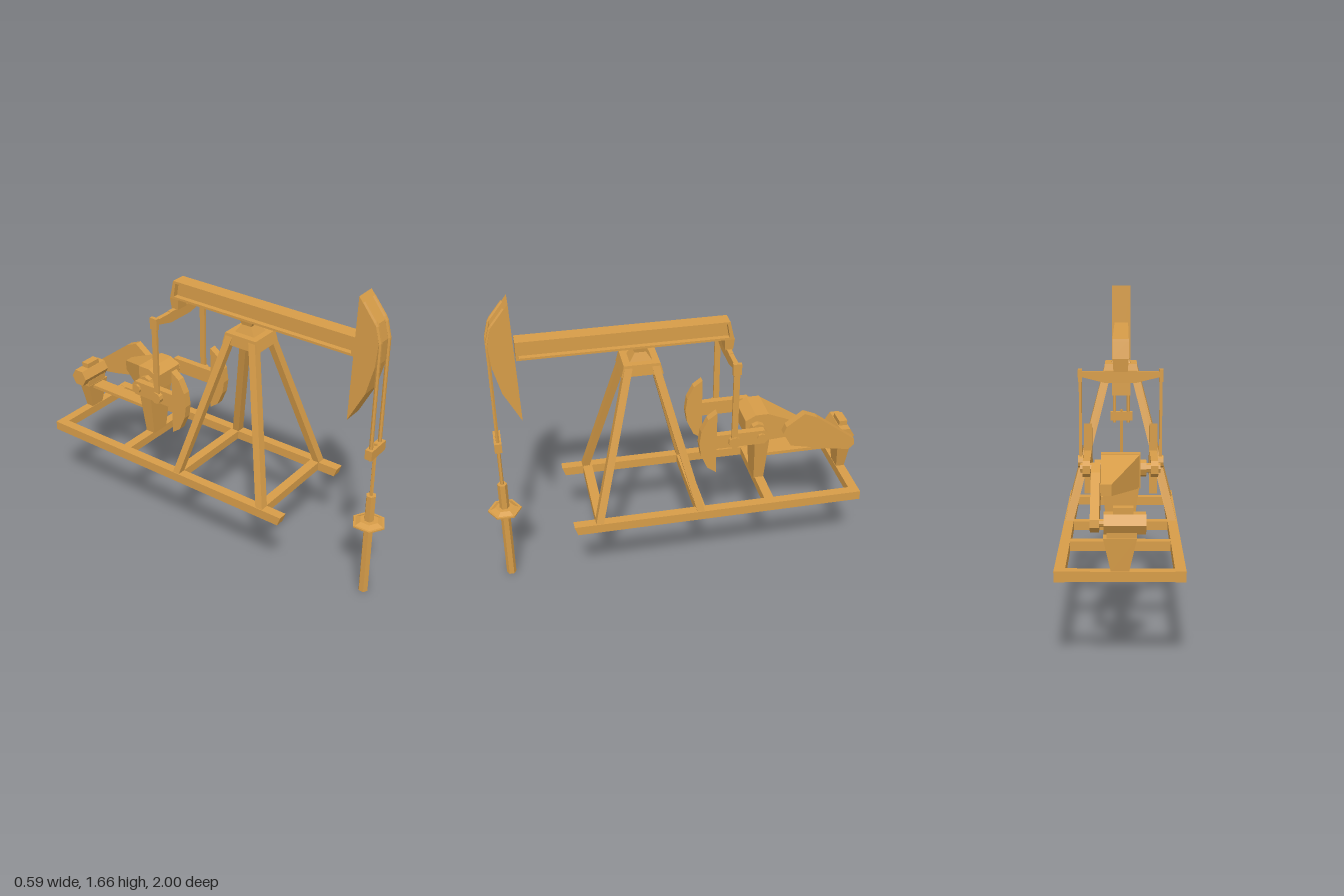
import * as THREE from 'three';

const material = new THREE.MeshStandardMaterial({ color: 0xd69c48, flatShading: true });

export function createModel() {
  const model = new THREE.Group();
  model.name = 'pumpjack';

  const add = (name, geometry) => {
    geometry.computeVertexNormals();
    const mesh = new THREE.Mesh(geometry, material);
    mesh.name = name;
    model.add(mesh);
    return mesh;
  };

  // Box given by its limits
  const box = (name, x0, x1, y0, y1, z0, z1) =>
    add(name, new THREE.BoxGeometry(x1 - x0, y1 - y0, z1 - z0)
      .translate((x0 + x1) / 2, (y0 + y1) / 2, (z0 + z1) / 2));

  // Box whose bottom and top rectangles [x0, x1, z0, z1] differ
  const taper = (name, y0, y1, bottom, top) => {
    const g = new THREE.BoxGeometry(1, 1, 1);
    const p = g.attributes.position;
    for (let i = 0; i < p.count; i++) {
      const r = p.getY(i) > 0 ? top : bottom;
      p.setXYZ(i, r[p.getX(i) > 0 ? 1 : 0], p.getY(i) > 0 ? y1 : y0, r[p.getZ(i) > 0 ? 3 : 2]);
    }
    return add(name, g);
  };

  // Side profile of [z, y] points, extruded from x0 to x1
  const plate = (name, x0, x1, points) => {
    const shape = new THREE.Shape(points.map(([z, y]) => new THREE.Vector2(z, y)));
    const g = new THREE.ExtrudeGeometry(shape, { depth: x1 - x0, bevelEnabled: false });
    return add(name, g.rotateY(-Math.PI / 2).translate(x1, 0, 0));
  };

  // Cylinder along x
  const axle = (name, x0, x1, y, z, r, sides = 8) =>
    add(name, new THREE.CylinderGeometry(r, r, x1 - x0, sides)
      .rotateZ(Math.PI / 2).translate((x0 + x1) / 2, y, z));

  // Upright cylinder
  const post = (name, y0, y1, z, r0, r1 = r0, sides = 6) =>
    add(name, new THREE.CylinderGeometry(r1, r0, y1 - y0, sides).translate(0, (y0 + y1) / 2, z));

  // Base frame
  for (const s of [-1, 1]) {
    plate('baseRail', s * 0.27 - 0.025, s * 0.27 + 0.025,
      [[-0.975, 0.43], [0.555, 0.43], [0.572, 0.48], [-0.975, 0.48]]);
  }
  for (const z of [0.43, -0.103, -0.478, -0.95]) {
    box('baseCrossbeam', -0.247, 0.247, 0.432, 0.479, z - 0.025, z + 0.025);
  }

  // Tower of four leaning legs, platform and saddle bearing
  for (const s of [-1, 1]) {
    const span = (a, b) => (s > 0 ? [a, b] : [-b, -a]);
    taper('towerLeg', 0.475, 1.27, [...span(0.247, 0.292), 0.42, 0.46], [...span(0.042, 0.085), 0.215, 0.255]);
    taper('towerLeg', 0.475, 1.27, [...span(0.247, 0.292), -0.118, -0.078], [...span(0.042, 0.085), 0.08, 0.12]);
  }
  taper('towerPlatform', 1.22, 1.28, [-0.09, 0.09, 0.06, 0.275], [-0.085, 0.085, 0.075, 0.26]);
  taper('saddleBase', 1.28, 1.325, [-0.05, 0.05, 0.11, 0.225], [-0.035, 0.035, 0.14, 0.195]);
  taper('saddleTop', 1.322, 1.348, [-0.035, 0.035, 0.14, 0.195], [-0.04, 0.04, 0.13, 0.208]);

  // Walking beam: two flanges, web and end plates
  plate('beamLowerFlange', -0.04, 0.04, [[-0.313, 1.345], [0.78, 1.345], [0.78, 1.357], [-0.31, 1.357]]);
  plate('beamUpperFlange', -0.04, 0.04, [[-0.293, 1.433], [0.78, 1.433], [0.78, 1.445], [-0.29, 1.445]]);
  plate('beamWeb', -0.012, 0.012, [[-0.3, 1.35], [0.78, 1.35], [0.78, 1.44], [-0.285, 1.44]]);
  plate('beamRearPlate', -0.04, 0.04, [[-0.312, 1.35], [-0.29, 1.35], [-0.275, 1.44], [-0.291, 1.44]]);
  box('beamFrontPlate', -0.04, 0.04, 1.35, 1.44, 0.765, 0.78);

  // Curved head
  plate('beamHead', -0.055, 0.055, [[0.775, 1.01], [0.862, 1.18], [0.9, 1.33], [0.91, 1.45],
    [0.888, 1.54], [0.795, 1.66]]);

  // Cables over the head, down to the carrier bar
  for (const s of [-1, 1]) {
    const points = [[0.815, 1.633], [0.888, 1.54], [0.911, 1.45], [0.91, 1.3], [0.91, 0.825]]
      .map(([z, y]) => new THREE.Vector3(s * 0.042, y, z));
    const path = new THREE.CurvePath();
    for (let i = 1; i < points.length; i++) path.add(new THREE.LineCurve3(points[i - 1], points[i]));
    add('cable', new THREE.TubeGeometry(path, 40, 0.01, 6));
  }
  box('carrierBar', -0.067, 0.067, 0.84, 0.892, 0.892, 0.93);

  // Polished rod and well
  post('polishedRod', 0.58, 0.905, 0.911, 0.01);
  post('wellPipe', 0, 0.6, 0.911, 0.026);
  post('wellFlange', 0.43, 0.45, 0.911, 0.09, 0.05);
  post('wellFlangeRim', 0.428, 0.436, 0.911, 0.09);

  // Equalizer hanging from the rear of the beam
  taper('equalizerHanger', 1.285, 1.348, [-0.035, 0.035, -0.308, -0.268], [-0.04, 0.04, -0.315, -0.262]);
  box('equalizerCenter', -0.08, 0.08, 1.23, 1.288, -0.3, -0.276);
  for (const s of [-1, 1]) {
    const g = new THREE.BoxGeometry(0.12, 1, 0.024).translate(s * 0.14, 0, -0.288);
    const p = g.attributes.position;
    for (let i = 0; i < p.count; i++) {
      const outer = Math.abs(p.getX(i)) > 0.14;
      p.setY(i, p.getY(i) > 0 ? 1.285 : outer ? 1.26 : 1.23);
    }
    add('equalizerArm', g);
  }

  // Pitman rods, cranks, counterweights and shaft ends, mirrored
  for (const s of [-1, 1]) {
    const span = (a, b) => (s > 0 ? [a, b] : [-b, -a]);
    box('pitmanRod', ...span(0.192, 0.206), 0.83, 1.29, -0.303, -0.272);
    box('pitmanTop', ...span(0.19, 0.21), 1.235, 1.297, -0.31, -0.266);
    axle('pitmanBearing', ...span(0.187, 0.213), 0.833, -0.288, 0.032, 10);
    plate('crankArm', ...span(0.147, 0.183), [[-0.475, 0.81], [-0.455, 0.79], [-0.19, 0.79],
      [-0.19, 0.87], [-0.455, 0.87], [-0.475, 0.85]]);
    plate('counterweight', ...span(0.145, 0.186), [[-0.197, 0.645], [-0.15, 0.68], [-0.115, 0.76],
      [-0.105, 0.83], [-0.115, 0.905], [-0.15, 0.975], [-0.197, 1.01]]);
    axle('crankShaft', ...span(0.09, 0.195), 0.832, -0.437, 0.024);
    axle('shaftBearing', ...span(0.09, 0.125), 0.832, -0.437, 0.042);
  }

  // Gearbox with a rear housing narrowing toward the belt side
  plate('gearbox', -0.097, 0.094, [[-0.375, 0.79], [-0.44, 0.742], [-0.5, 0.745], [-0.5, 0.91],
    [-0.43, 0.91], [-0.375, 0.88]].reverse());
  const housing = plate('gearHousing', -0.095, 0.092,
    [[-0.72, 0.76], [-0.495, 0.745], [-0.495, 0.91], [-0.72, 0.815]]);
  const hp = housing.geometry.attributes.position;
  for (let i = 0; i < hp.count; i++) {
    if (hp.getX(i) < 0 && hp.getZ(i) < -0.6) hp.setX(i, 0.04);
  }
  housing.geometry.computeVertexNormals();
  taper('gearboxPedestal', 0.475, 0.75, [-0.052, 0.052, -0.502, -0.447], [-0.09, 0.09, -0.512, -0.432]);

  // Belt guard
  plate('beltGuard', 0.092, 0.133, [[-0.575, 0.8], [-0.59, 0.84], [-0.685, 0.91], [-0.755, 0.88],
    [-0.975, 0.715], [-0.98, 0.68], [-0.95, 0.652], [-0.85, 0.668], [-0.62, 0.72]]);
  axle('drivenShaft', 0.06, 0.1, 0.79, -0.68, 0.02);

  // Motor on its pedestal, with a walkway plank to the gearbox
  axle('motor', -0.115, 0.072, 0.695, -0.948, 0.052, 6).geometry.computeVertexNormals();
  axle('motorShaft', 0.07, 0.095, 0.695, -0.948, 0.018);
  box('motorTerminalBox', -0.06, 0.03, 0.73, 0.768, -0.97, -0.925);
  box('motorMount', -0.075, 0.06, 0.63, 0.665, -0.978, -0.912);
  taper('motorPedestal', 0.475, 0.632, [-0.04, 0.04, -0.972, -0.928], [-0.075, 0.075, -0.982, -0.91]);
  box('walkwayPlank', -0.04, 0.04, 0.608, 0.626, -0.915, -0.49);

  return model;
}
